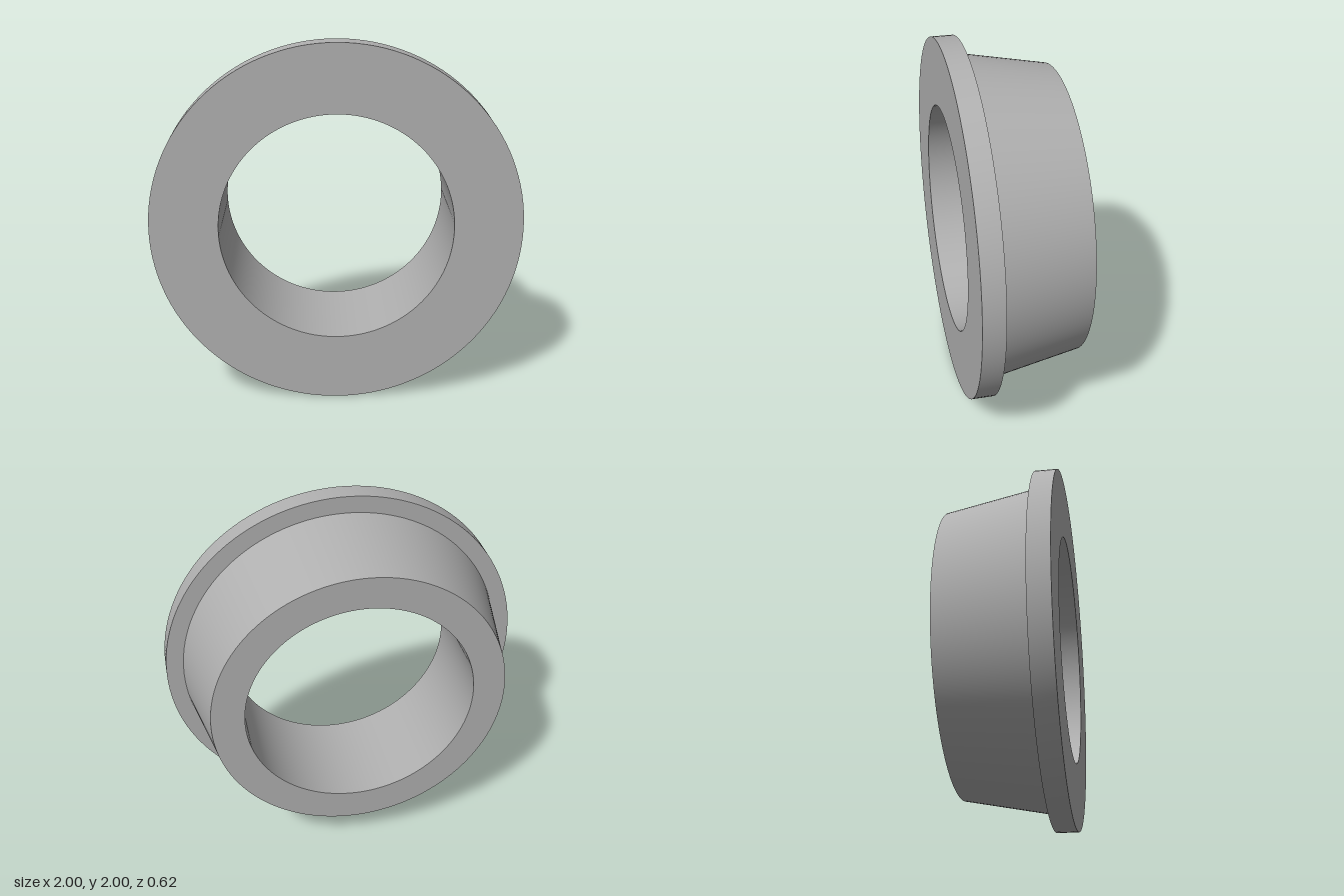
import * as THREE from 'three';
import { toCreasedNormals } from 'three/addons/utils/BufferGeometryUtils.js';

const BORE = 0.63, FRONT = 0.31, STEP = 0.19, BACK = -0.31;

// Revolve a [radius, z] profile around the z axis, keeping its edges sharp
function ring(name, profile, material) {
  const points = profile.map(([r, z]) => new THREE.Vector2(r, z));
  const geometry = new THREE.LatheGeometry(points, 128);
  geometry.rotateX(Math.PI / 2);
  const mesh = new THREE.Mesh(toCreasedNormals(geometry, Math.PI / 9), material);
  mesh.name = name;
  mesh.position.y = 1;
  return mesh;
}

export function createModel() {
  const group = new THREE.Group();
  group.name = 'flangedBushing';
  const grey = new THREE.MeshStandardMaterial({ color: 0xb0b0b0 });
  grey.name = 'plain grey';

  // Wide flange: rear shoulder, rim and front face
  group.add(ring('flange', [[0.905, STEP], [1, STEP], [1, FRONT], [BORE, FRONT]], grey));

  // Tapered sleeve: straight bore, rear face and sloping outside
  group.add(ring('taperedSleeve', [[BORE, FRONT], [BORE, BACK], [0.81, BACK], [0.905, STEP]], grey));

  return group;
}
